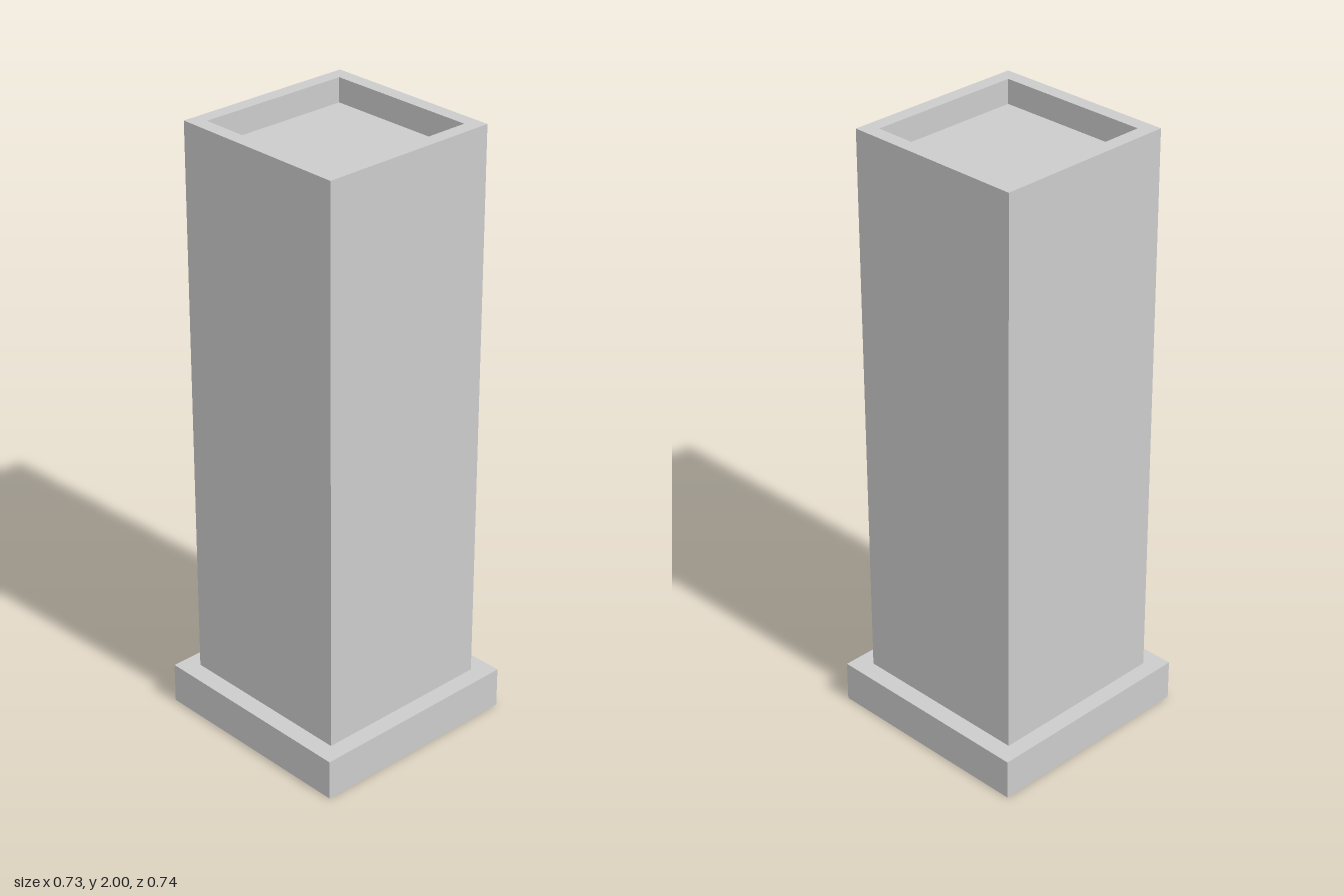
import * as THREE from 'three';

export function createModel() {
  const model = new THREE.Group();
  const material = new THREE.MeshStandardMaterial({ color: 0xcccccc, flatShading: true });

  const baseHeight = 0.135, height = 2, recessDepth = 0.08;
  const outer = 0.3075, inner = 0.2605; // half widths of the shaft and its recess

  // Square plinth
  const base = new THREE.Mesh(new THREE.BoxGeometry(0.73, baseHeight, 0.738), material);
  base.name = 'base';
  base.position.y = baseHeight / 2;
  model.add(base);

  // Square shaft with a rim and a shallow recess: a profile turned in four sides
  const profile = [
    [outer, baseHeight],
    [outer, height],
    [inner, height],
    [inner, height - recessDepth],
    [0, height - recessDepth],
  ].map(([halfWidth, y]) => new THREE.Vector2(halfWidth * Math.SQRT2, y));
  const shaft = new THREE.Mesh(new THREE.LatheGeometry(profile, 4, Math.PI / 4), material);
  shaft.name = 'shaft';
  shaft.position.x = -0.0015;
  model.add(shaft);

  return model;
}
